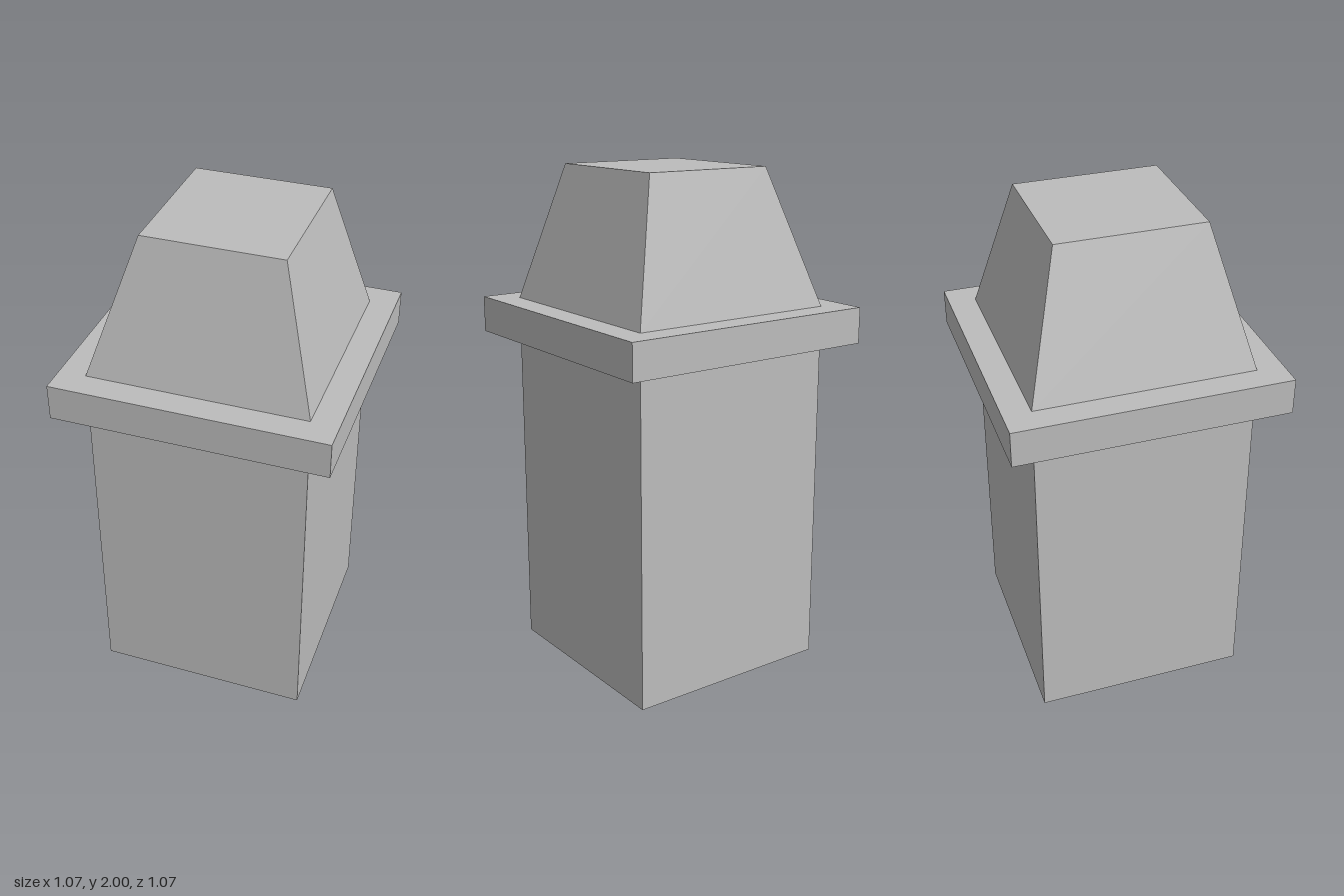
import * as THREE from 'three';

const stone = new THREE.MeshStandardMaterial({ color: 0xbcbcbc });
stone.name = 'grey stone';

// Square block of half-width r between two heights
function block(name, r, y0, y1) {
  const geometry = new THREE.BoxGeometry(2 * r, y1 - y0, 2 * r);
  geometry.translate(0, (y0 + y1) / 2, 0);
  const mesh = new THREE.Mesh(geometry, stone);
  mesh.name = name;
  return mesh;
}

export function createModel() {
  const group = new THREE.Group();
  group.name = 'pillar';

  // Shaft and overhanging slab
  const shaftR = 0.427, slabBottom = 1.325, slabTop = 1.467;
  group.add(block('shaft', shaftR, 0, slabBottom));
  group.add(block('slab', 0.533, slabBottom, slabTop));

  // Tapered cap: its top is narrowed, and slightly off centre in x
  const cap = block('cap', shaftR, slabTop, 2);
  const p = cap.geometry.attributes.position;
  for (let i = 0; i < p.count; i++) {
    if (p.getY(i) < 1.8) continue;
    p.setX(i, p.getX(i) < 0 ? -0.251 : 0.284);
    p.setZ(i, Math.sign(p.getZ(i)) * 0.285);
  }
  cap.geometry.computeVertexNormals();
  group.add(cap);

  return group;
}
